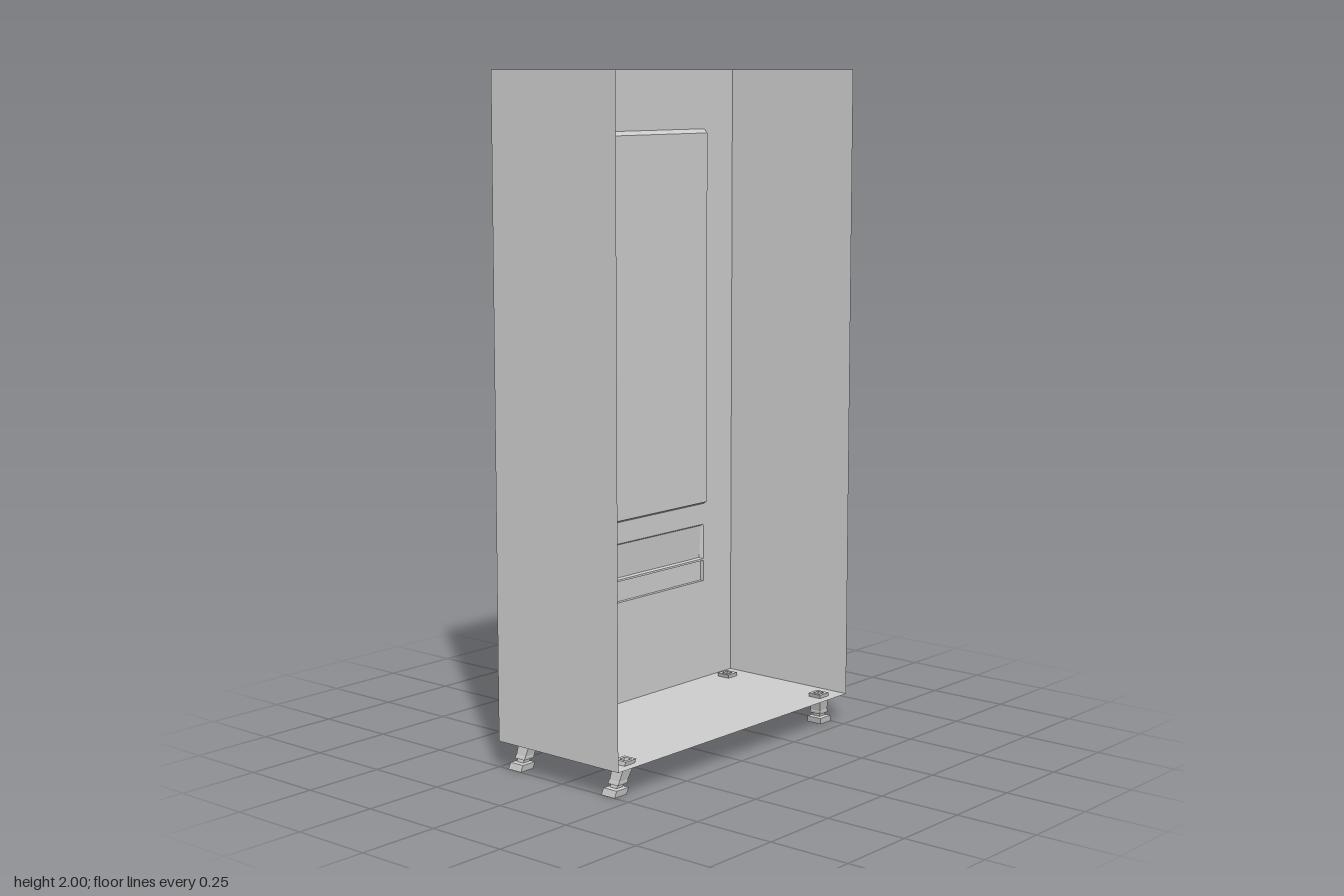
import * as THREE from 'three';

const X0 = -0.224, X1 = 0.238, Y0 = 0.088, Y1 = 2, Z = 0.527;
const material = new THREE.MeshStandardMaterial({ color: 0xcccccc, flatShading: true, side: THREE.DoubleSide });

// Mesh from four-cornered faces, corners counter-clockwise seen from outside
function quadMesh(name, quads) {
  const pos = quads.flatMap(([a, b, c, d]) => [a, b, c, a, c, d].flat());
  const geometry = new THREE.BufferGeometry();
  geometry.setAttribute('position', new THREE.Float32BufferAttribute(pos, 3));
  geometry.computeVertexNormals();
  const mesh = new THREE.Mesh(geometry, material);
  mesh.name = name;
  return mesh;
}

// Side strips between two rings of corners
const band = (a, b) => a.map((p, i) => {
  const j = (i + 1) % a.length;
  return [p, a[j], b[j], b[i]];
});

// Pressed panels in the wall: opening, insets of the inner face, outward depth at top and bottom
const panels = [
  { name: 'displayWindow', z: [-0.39, 0.251], y: [0.65, 1.82], side: 0.006, top: 0.012, bottom: 0.009, depth: [-0.018, -0.018] },
  { name: 'controlPanel', z: [0.317, 0.46], y: [1.035, 1.82], side: 0.008, top: 0.007, bottom: 0.014, depth: [0.015, 0.015] },
  { name: 'deliveryFlap', z: [-0.39, 0.251], y: [0.473, 0.584], side: 0.008, top: 0.004, bottom: 0.003, depth: [0.005, 0.012] },
  { name: 'deliveryTray', z: [-0.39, 0.251], y: [0.402, 0.467], side: 0, top: 0, bottom: 0, depth: [0.012, 0.012] },
];

function panel({ name, z, y, side, top, bottom, depth }) {
  const rim = [[X0, y[0], z[0]], [X0, y[0], z[1]], [X0, y[1], z[1]], [X0, y[1], z[0]]];
  const xt = X0 - depth[0], xb = X0 - depth[1];
  const face = [
    [xb, y[0] + bottom, z[0] + side], [xb, y[0] + bottom, z[1] - side],
    [xt, y[1] - top, z[1] - side], [xt, y[1] - top, z[0] + side],
  ];
  return quadMesh(name, [...band(rim, face), face]);
}

const rectangle = (T, z0, z1, y0, y1) => {
  const s = new T();
  s.moveTo(z0, y0).lineTo(z1, y0).lineTo(z1, y1).lineTo(z0, y1).closePath();
  return s;
};

// Splayed leg: square sections [height, half width], leaning with height
function leg(x, zSign) {
  const ring = ([y, h], lean) => {
    const cx = x - 0.018 * lean, cz = zSign * (0.447 + 0.028 * lean);
    return [[cx - h, y, cz + h], [cx + h, y, cz + h], [cx + h, y, cz - h], [cx - h, y, cz - h]];
  };
  const sections = [[0, 0.025], [0.02, 0.025], [0.022, 0.013], [0.03, 0.013], [0.032, 0.019], [0.04, 0.019], [0.042, 0.018], [0.1, 0.022]];
  const rings = sections.map(s => ring(s, 1 - s[0] / 0.1));
  const quads = rings.slice(1).flatMap((r, i) => band(rings[i], r));
  // Sole, and a rim around the hollow top
  quads.push([...rings[0]].reverse());
  const inner = ring([0.1, 0.012], 0), low = ring([0.091, 0.012], 0.09);
  quads.push(...band(rings[rings.length - 1], inner), ...band(inner, low), low);
  return quadMesh('leg', quads);
}

export function createModel() {
  const model = new THREE.Group();
  model.name = 'vendingCabinet';

  // Cabinet shell, open on the +x side
  const b = [[X0, Y0, Z], [X1, Y0, Z], [X1, Y0, -Z], [X0, Y0, -Z]];
  const t = b.map(([x, , z]) => [x, Y1, z]);
  const sides = band(b, t);
  model.add(quadMesh('endWalls', [sides[0], sides[2]]));
  model.add(quadMesh('roof', [t]));
  model.add(quadMesh('floor', [[...b].reverse()]));

  // Panelled wall with openings
  const shape = rectangle(THREE.Shape, -Z, Z, Y0, Y1);
  for (const p of panels) shape.holes.push(rectangle(THREE.Path, ...p.z, ...p.y));
  const wall = new THREE.Mesh(new THREE.ShapeGeometry(shape).rotateY(-Math.PI / 2).translate(X0, 0, 0), material);
  wall.name = 'panelledWall';
  model.add(wall);
  for (const p of panels) model.add(panel(p));

  // Four legs
  for (const x of [-0.171, 0.192]) for (const s of [-1, 1]) model.add(leg(x, s));

  return model;
}
